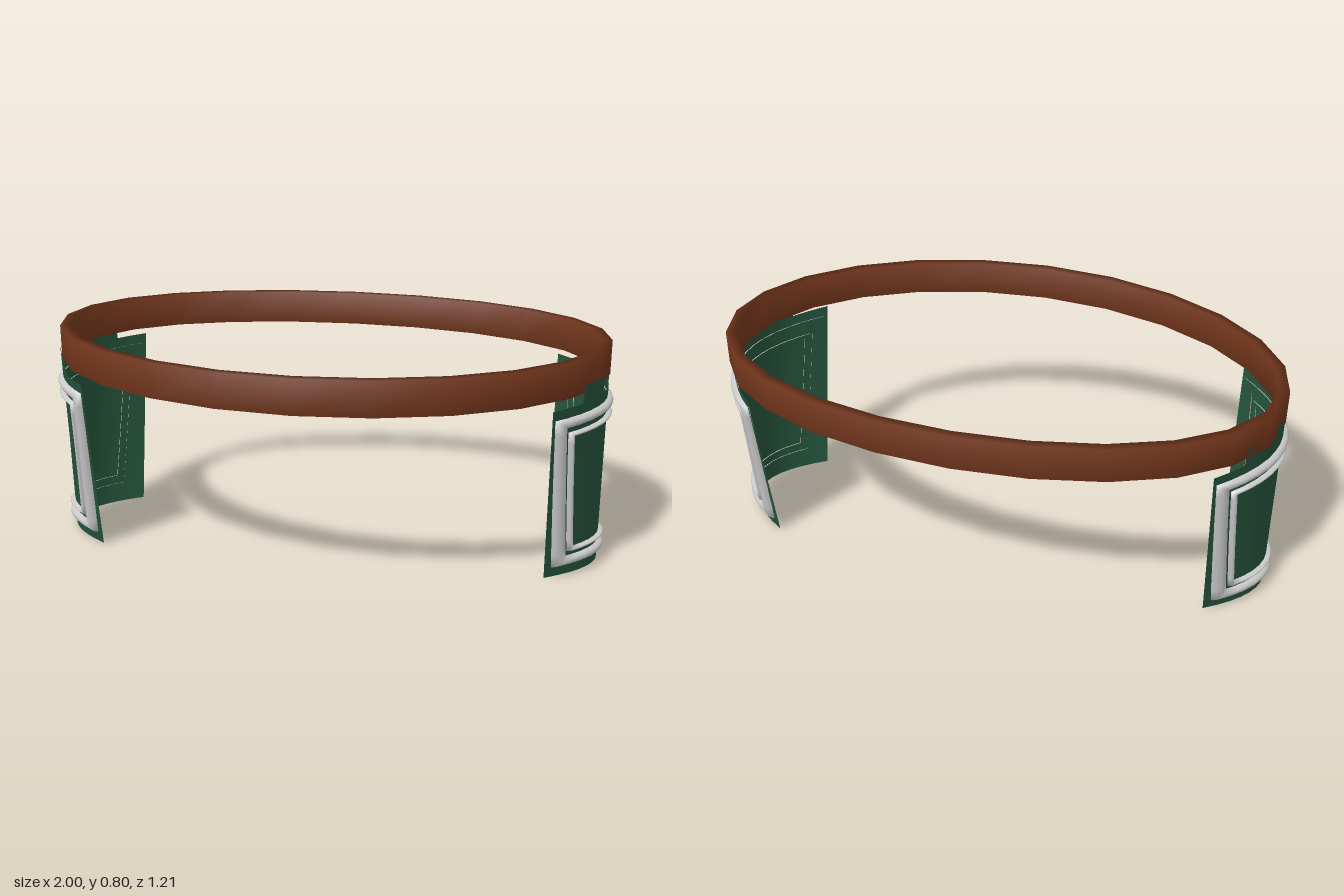
import * as THREE from 'three';

const brown = new THREE.MeshStandardMaterial({ color: 0x73361c });
const green = new THREE.MeshStandardMaterial({ color: 0x24523a, side: THREE.DoubleSide });
const silver = new THREE.MeshStandardMaterial({ color: 0xcccccc });

const MID_Z = -0.03; // the side panels sit slightly behind the middle

// Grid surface from fn(i, j) -> [x, y, z]; either direction may close on itself
function grid(nu, nv, fn, closeU = false, closeV = false) {
  const cu = closeU ? nu : nu + 1, cv = closeV ? nv : nv + 1;
  const positions = [], index = [];
  for (let i = 0; i < cu; i++) for (let j = 0; j < cv; j++) positions.push(...fn(i, j));
  const at = (i, j) => (i % cu) * cv + (j % cv);
  for (let i = 0; i < nu; i++) {
    for (let j = 0; j < nv; j++) {
      index.push(at(i, j), at(i + 1, j), at(i + 1, j + 1));
      index.push(at(i, j), at(i + 1, j + 1), at(i, j + 1));
    }
  }
  const geometry = new THREE.BufferGeometry();
  geometry.setAttribute('position', new THREE.Float32BufferAttribute(positions, 3));
  geometry.setIndex(index);
  geometry.computeVertexNormals();
  return geometry;
}

function add(parent, name, geometry, material) {
  const mesh = new THREE.Mesh(geometry, material);
  mesh.name = name;
  parent.add(mesh);
  return mesh;
}

// Curved panel surface: q runs towards the back, h lifts off the surface
const halfWidth = (y) => 0.23 + (0.125 * y) / 0.645;
function onPanel(q, y, h = 0) {
  const w = halfWidth(y), s = q / w;
  const len = Math.hypot(w, 0.36 * s);
  return [
    0.8 + 0.18 * (1 - s * s) + (h * w) / len,
    y,
    MID_Z - q - (h * 0.36 * s) / len,
  ];
}

// Rectangular patch of the panel surface between two depths
const patch = (q0, q1, y0, y1, n) => grid(n, 1, (i, j) =>
  onPanel(q0 + ((q1 - q0) * i) / n, j ? y1 : y0));

// Half-round moulding mitred around a trapezoid on the panel
function moulding(top, bottom, halfTop, halfBottom, width, height) {
  const N = 12, M = 6;
  return grid(4 * N, M, (i, j) => {
    const a = (Math.PI * j) / M;
    const o = (width * (1 - Math.cos(a))) / 2;
    const slope = (halfTop - halfBottom) / (top - bottom);
    const y0 = bottom + o, y1 = top - o;
    const half = (y) => halfBottom + slope * (y - bottom) - o * Math.hypot(1, slope);
    const corners = [[-half(y0), y0], [half(y0), y0], [half(y1), y1], [-half(y1), y1]];
    const side = Math.floor(i / N), f = (i % N) / N;
    const p = corners[side], r = corners[(side + 1) % 4];
    return onPanel(p[0] + (r[0] - p[0]) * f, p[1] + (r[1] - p[1]) * f,
      -0.004 + (height + 0.004) * Math.sin(a));
  }, true, false);
}

function sidePanel(name) {
  const group = new THREE.Group();
  group.name = name;
  // tapered curved plate
  add(group, 'plate', grid(14, 6, (i, j) => {
    const y = (0.645 * j) / 6;
    return onPanel((i / 7 - 1) * halfWidth(y), y);
  }), green);
  // tabs joining the plate to the belt
  add(group, 'frontTab', patch(-0.245, -0.12, 0.64, 0.71, 4), green);
  add(group, 'backTab', patch(0.02, 0.26, 0.64, 0.71, 6), green);
  // raised borders
  add(group, 'outerTrim', moulding(0.61, 0.038, 0.34, 0.222, 0.036, 0.02), silver);
  add(group, 'innerTrim', moulding(0.555, 0.092, 0.284, 0.192, 0.015, 0.018), silver);
  return group;
}

export function createModel() {
  const model = new THREE.Group();
  model.name = 'beltWithSidePanels';

  // oval belt, widest a little behind the middle
  const section = [[0, 0.795], [0, 0.675], [0.034, 0.675], [0.034, 0.795]];
  add(model, 'belt', grid(24, 4, (i, j) => {
    const t = (i / 24) * Math.PI * 2;
    const [inset, y] = section[j];
    const c = Math.cos(t);
    return [(0.983 - inset) * c, y, (0.606 - inset) * Math.sin(t) - 0.05 * c * c];
  }, true, true), brown);

  // matching panels on both hips
  const left = sidePanel('leftPanel');
  const right = sidePanel('rightPanel');
  right.scale.x = -1;
  model.add(left, right);
  return model;
}
